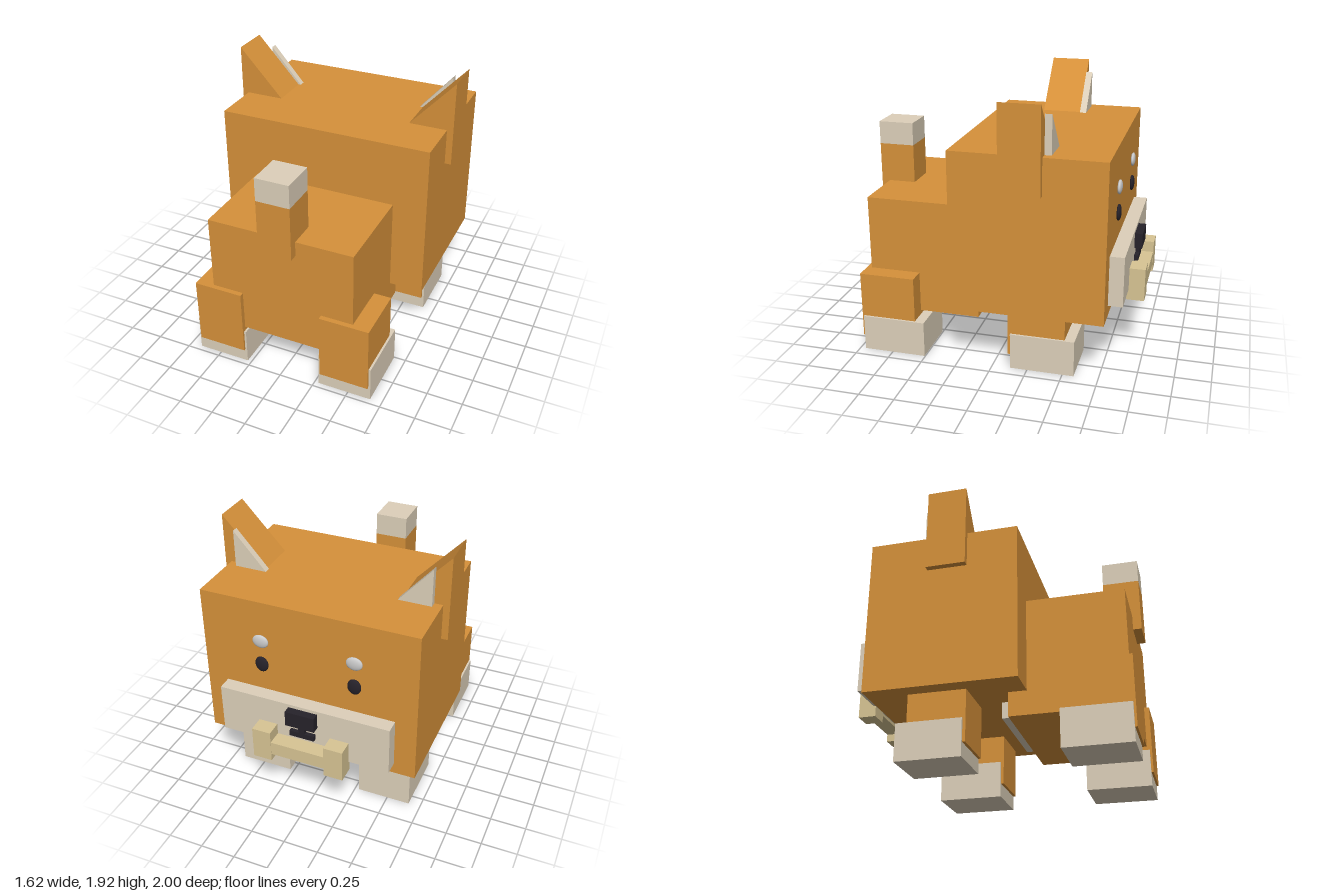
import * as THREE from 'three';

const mat = (color) => new THREE.MeshStandardMaterial({ color });

export function createModel() {
  const model = new THREE.Group();
  const orange = mat(0xd6913a), cream = mat(0xddd0ba), bone = mat(0xd8c594);
  const black = mat(0x26222a), white = mat(0xeeeeee);

  const add = (name, geometry, material) => {
    const mesh = new THREE.Mesh(geometry, material);
    mesh.name = name;
    model.add(mesh);
    return mesh;
  };

  // Box given by its limits on each axis
  const box = (name, material, [x0, x1], [y0, y1], [z0, z1]) => {
    const mesh = add(name, new THREE.BoxGeometry(x1 - x0, y1 - y0, z1 - z0), material);
    mesh.position.set((x0 + x1) / 2, (y0 + y1) / 2, (z0 + z1) / 2);
  };

  // Triangular wedge outlined in x-y and extruded between two depths
  const wedge = (name, material, points, z0, z1) => {
    const shape = new THREE.Shape(points.map(([x, y]) => new THREE.Vector2(x, y)));
    const geometry = new THREE.ExtrudeGeometry(shape, { depth: z1 - z0, bevelEnabled: false });
    add(name, geometry.translate(0, 0, z0), material);
  };

  // Head, body and chest patch
  box('head', orange, [-0.765, 0.765], [0.46, 1.575], [-0.79, 0.265]);
  box('body', orange, [-0.525, 0.525], [0.29, 1.12], [0.14, 0.94]);
  box('chest', cream, [-0.36, 0.36], [0.345, 0.9], [0.055, 0.14]);

  // Upright tail with a pale tip
  box('tail', orange, [-0.12, 0.12], [1.015, 1.4], [0.745, 1]);
  box('tailTip', cream, [-0.12, 0.12], [1.4, 1.565], [0.745, 1]);

  // Muzzle, nose and mouth
  box('muzzle', cream, [-0.615, 0.615], [0.54, 0.895], [-0.89, -0.79]);
  box('nose', black, [-0.105, 0.105], [0.76, 0.872], [-0.945, -0.89]);
  box('noseStem', black, [-0.022, 0.022], [0.69, 0.76], [-0.92, -0.89]);
  box('mouth', black, [-0.09, 0.09], [0.66, 0.7], [-0.92, -0.89]);

  // Bone held at the mouth
  box('boneBar', bone, [-0.195, 0.195], [0.52, 0.62], [-0.998, -0.88]);

  for (const s of [-1, 1]) {
    const side = s > 0 ? 'left' : 'right';
    const span = (a, b) => (s > 0 ? [a, b] : [-b, -a]);
    const flip = (points) => points.map(([x, y]) => [s * x, y]);

    box(side + 'BoneEnd', bone, span(0.195, 0.33), [0.465, 0.7], [-1, -0.875]);

    // Legs and paws
    box(side + 'HindLeg', orange, span(0.295, 0.65), [0.1, 0.585], [0.575, 0.975]);
    box(side + 'HindPaw', cream, span(0.28, 0.665), [0, 0.26], [0.505, 0.96]);
    box(side + 'ForeLeg', orange, span(0.295, 0.65), [0.1, 0.585], [-0.51, -0.108]);
    box(side + 'ForePaw', cream, span(0.28, 0.665), [0, 0.26], [-0.58, -0.128]);

    // Ears with a pale inner layer
    wedge(side + 'Ear', orange, flip([[0.81, 1.32], [0.81, 1.92], [0.26, 1.32]]), -0.368, -0.088);
    wedge(side + 'InnerEar', cream, flip([[0.705, 1.4], [0.705, 1.84], [0.323, 1.4]]), -0.415, -0.368);

    // Flattened round eye and the pale spot above it
    const eye = add(side + 'Eye', new THREE.SphereGeometry(1, 24, 16), black);
    eye.scale.set(0.048, 0.058, 0.018);
    eye.position.set(s * 0.333, 1.103, -0.8);
    const brow = add(side + 'BrowSpot', new THREE.SphereGeometry(1, 24, 16), white);
    brow.scale.set(0.058, 0.049, 0.018);
    brow.position.set(s * 0.333, 1.283, -0.8);
  }
  return model;
}
